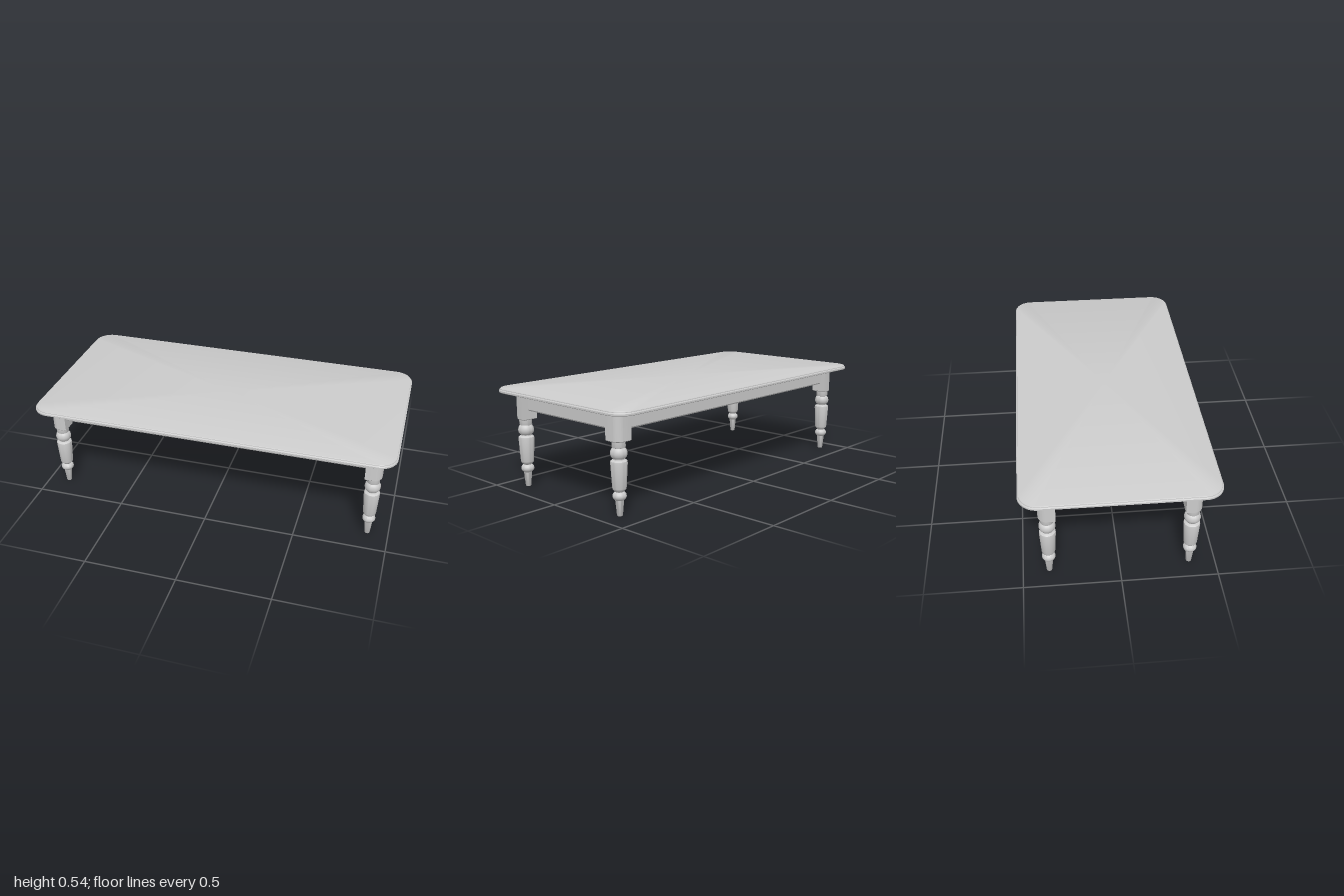
import * as THREE from 'three';
import { toCreasedNormals } from 'three/addons/utils/BufferGeometryUtils.js';

const material = new THREE.MeshStandardMaterial({ color: 0xcccccc });
const LEG_X = 0.887, LEG_Z = 0.364, BLOCK = 0.044, TOP_Y = 0.521;

function addMesh(parent, geometry, name) {
  const mesh = new THREE.Mesh(geometry, material);
  mesh.name = name;
  parent.add(mesh);
  return mesh;
}

// Outline of a rounded rectangle, counter-clockwise in x and -z
function roundedRing(hx, hz, r, steps = 12) {
  const points = [];
  for (let q = 0; q < 4; q++) {
    const sx = q === 0 || q === 3 ? 1 : -1, sz = q < 2 ? 1 : -1;
    for (let i = 0; i <= steps; i++) {
      const a = (q + i / steps) * Math.PI / 2;
      points.push([sx * (hx - r) + r * Math.cos(a), sz * (hz - r) + r * Math.sin(a)]);
    }
  }
  return points;
}

// Tabletop: rounded rectangles stacked along a moulded edge profile of [inset, y]
function tabletopGeometry() {
  const profile = [[0.004, TOP_Y], [0, 0.524], [0, 0.532], [0.003, 0.536],
    [0.006, 0.537], [0.006, 0.540], [0.008, 0.543], [0.011, 0.544]];
  const rings = profile.map(([d]) => roundedRing(1 - d, 0.5 - d, 0.1 - d));
  const n = rings[0].length, last = rings.length - 1;
  const positions = [], indices = [];
  rings.forEach((ring, k) => ring.forEach(([x, z]) => positions.push(x, profile[k][1], -z)));
  positions.push(0, TOP_Y, 0, 0, profile[last][1], 0);
  const bottom = n * rings.length;
  for (let i = 0; i < n; i++) {
    const j = (i + 1) % n;
    for (let k = 0; k < last; k++) {
      const a = k * n + i, b = k * n + j;
      indices.push(a, b, b + n, a, b + n, a + n);
    }
    indices.push(bottom, j, i, bottom + 1, last * n + i, last * n + j);
  }
  const geometry = new THREE.BufferGeometry();
  geometry.setAttribute('position', new THREE.Float32BufferAttribute(positions, 3));
  geometry.setIndex(indices);
  return toCreasedNormals(geometry, 0.5);
}

// Square leg block with one rounded outer corner, towards +x and +z
function blockGeometry() {
  const bevel = 0.004, b = BLOCK - bevel, r = 0.042;
  const shape = new THREE.Shape();
  shape.moveTo(-b, -b);
  shape.lineTo(b - r, -b);
  shape.absarc(b - r, -b + r, r, -Math.PI / 2, 0, false);
  shape.lineTo(b, b);
  shape.lineTo(-b, b);
  shape.closePath();
  const geometry = new THREE.ExtrudeGeometry(shape, {
    depth: TOP_Y - 0.375 - 2 * bevel, bevelEnabled: true, bevelSize: bevel,
    bevelThickness: bevel, bevelSegments: 1, curveSegments: 10,
  });
  geometry.rotateX(-Math.PI / 2).translate(0, 0.375 + bevel, 0);
  return toCreasedNormals(geometry, 0.5);
}

// Turned leg: foot, lower ring, vase body, upper ring and collar
function turnedLegGeometry() {
  const profile = [
    [0, 0], [0.013, 0], [0.0145, 0.002], [0.022, 0.081],
    [0.029, 0.087], [0.034, 0.095], [0.035, 0.102], [0.033, 0.111], [0.027, 0.119], [0.021, 0.123],
    [0.024, 0.126], [0.033, 0.136], [0.035, 0.142],
    [0.0425, 0.268], [0.041, 0.277], [0.036, 0.281], [0.027, 0.284], [0.027, 0.289],
    [0.034, 0.293], [0.040, 0.302], [0.0425, 0.315], [0.040, 0.328], [0.035, 0.337], [0.029, 0.342],
    [0.033, 0.344], [0.034, 0.347], [0.034, 0.378], [0, 0.378],
  ].map(([r, y]) => new THREE.Vector2(r, y));
  return toCreasedNormals(new THREE.LatheGeometry(profile, 32), 0.6);
}

// Apron board along x, its outer face towards +z, with a chamfered lower edge
function apronGeometry(length) {
  const shape = new THREE.Shape();
  [[-0.012, 0.425], [0.008, 0.425], [0.012, 0.432], [0.012, TOP_Y], [-0.012, TOP_Y]]
    .forEach(([z, y], i) => (i ? shape.lineTo(-z, y) : shape.moveTo(-z, y)));
  const geometry = new THREE.ExtrudeGeometry(shape, { depth: length, bevelEnabled: false });
  return geometry.translate(0, 0, -length / 2).rotateY(Math.PI / 2);
}

export function createModel() {
  const table = new THREE.Group();
  table.name = 'table';
  addMesh(table, tabletopGeometry(), 'tabletop');

  // Four legs, each with its rounded corner turned outwards
  const block = blockGeometry(), turned = turnedLegGeometry();
  [[1, 1], [1, -1], [-1, -1], [-1, 1]].forEach(([sx, sz], i) => {
    const leg = new THREE.Group();
    leg.name = (sz > 0 ? 'front' : 'back') + (sx > 0 ? 'Left' : 'Right') + 'Leg';
    addMesh(leg, block, 'legBlock');
    addMesh(leg, turned, 'turnedLeg');
    leg.position.set(sx * LEG_X, 0, sz * LEG_Z);
    leg.rotation.y = i * Math.PI / 2;
    table.add(leg);
  });

  // Aprons between the leg blocks
  const longApron = apronGeometry(2 * (LEG_X - BLOCK) + 0.02);
  const shortApron = apronGeometry(2 * (LEG_Z - BLOCK) + 0.02);
  ['frontApron', 'leftApron', 'backApron', 'rightApron'].forEach((name, i) => {
    const apron = addMesh(table, i % 2 ? shortApron : longApron, name);
    const angle = i * Math.PI / 2;
    apron.rotation.y = angle;
    apron.position.set(Math.sin(angle) * LEG_X, 0, Math.cos(angle) * LEG_Z);
  });
  return table;
}
